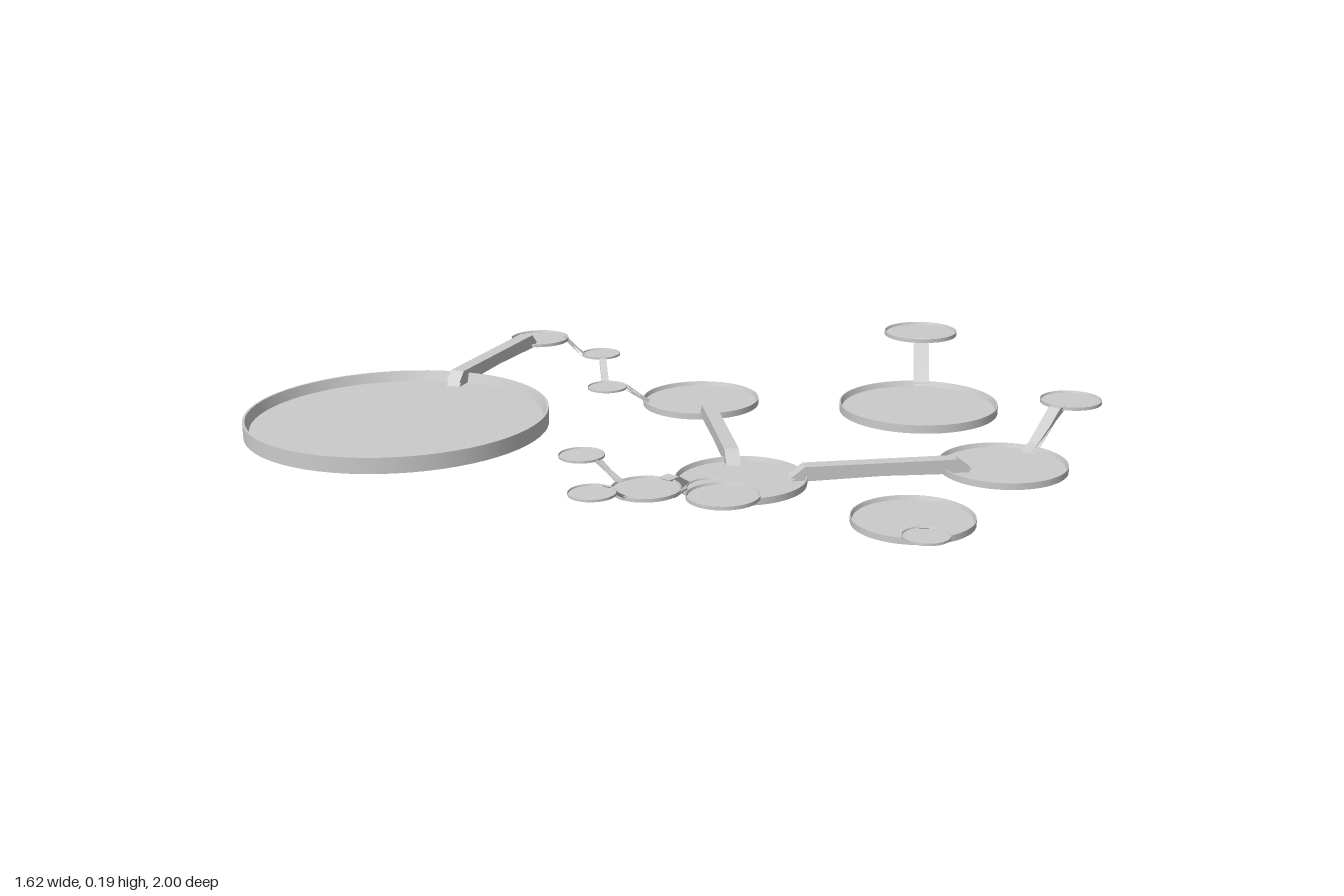
import * as THREE from 'three';

const material = new THREE.MeshStandardMaterial({ color: 0xcccccc });

// Shallow round tray with a sloping inner rim; top is the height of its rim
function tray(name, x, z, r, top) {
  const t = r * 0.105;
  const outline = [[0, 0], [r, 0], [r, t], [r * 0.985, t], [r * 0.962, t * 0.35], [0, t * 0.35]];
  const points = [];
  // Doubled corner points keep the rim edges crisp
  outline.forEach(([px, py], i) => {
    points.push(new THREE.Vector2(px, py));
    if (i > 0 && i < outline.length - 1) points.push(new THREE.Vector2(px, py));
  });
  const mesh = new THREE.Mesh(new THREE.LatheGeometry(points, 64), material);
  mesh.name = name;
  mesh.position.set(x, top - t, z);
  return mesh;
}

// Folded plank between two plan points; profile is a list of [fraction of length, height]
function bridge(name, [x0, z0], [x1, z1], width, profile) {
  const length = Math.hypot(x1 - x0, z1 - z0);
  const thick = Math.min(0.009, width * 0.35);
  const upper = profile.map(([f, y]) => new THREE.Vector2(f * length, y));
  const lower = upper.map((p) => new THREE.Vector2(p.x, p.y - thick)).reverse();
  const geometry = new THREE.ExtrudeGeometry(new THREE.Shape([...lower, ...upper.reverse()]),
    { depth: width, bevelEnabled: false });
  geometry.translate(0, 0, -width / 2);
  const mesh = new THREE.Mesh(geometry, material);
  mesh.name = name;
  mesh.position.set(x0, 0, z0);
  mesh.rotation.y = -Math.atan2(z1 - z0, x1 - x0);
  return mesh;
}

// Profiles: a ramp with flat lips, and a low arch that lands on both trays
const ramp = (y0, y1, lip = 0.15) => [[0, y0], [lip, y0], [1 - lip, y1], [1, y1]];
const arch = (y0, mid, y1, run = 0.08) => [[0, y0], [run, mid], [1 - run, mid], [1, y1]];

export function createModel() {
  const model = new THREE.Group();
  model.name = 'linkedPlatforms';

  // Platforms: name, x, z, radius, rim height
  const trays = [
    ['largePlatform', -0.47, 0.655, 0.34, 0.178],
    ['leftHubPlatform', -0.28, -0.225, 0.15, 0.034],
    ['centreHubPlatform', 0.18, 0.23, 0.15, 0.034],
    ['rightHubPlatform', 0.61, -0.212, 0.15, 0.034],
    ['sidePlatform', 0.618, 0.208, 0.135, 0.028],
    ['rearPlatform', 0.18, -0.555, 0.205, 0.0215],
    ['rearUpperPlatform', -0.02, -0.9, 0.1, 0.113],
    ['rightUpperPlatform', 0.61, -0.555, 0.075, 0.105],
    ['sideUpperPlatform', 0.757, 0.392, 0.05, 0.073],
    ['highStepPlatform', -0.69, -0.063, 0.075, 0.166],
    ['middleStepPlatform', -0.573, -0.173, 0.05, 0.118],
    ['lowStepPlatform', -0.455, -0.057, 0.05, 0.073],
    ['clusterHubPlatform', 0.18, 0.57, 0.075, 0.105],
    ['clusterWestPlatform', 0.003, 0.57, 0.05, 0.144],
    ['clusterFrontPlatform', 0.18, 0.742, 0.05, 0.144],
    ['clusterEastPlatform', 0.352, 0.57, 0.05, 0.144],
    ['clusterTopPlatform', 0.47, 0.688, 0.073, 0.184],
  ];
  trays.forEach((t) => model.add(tray(...t)));

  // Long arched bridges
  model.add(bridge('leftHubBridge', [0.105, 0.155], [-0.2, -0.145], 0.034, arch(0.03, 0.056, 0.03)));
  model.add(bridge('rightHubBridge', [0.26, 0.155], [0.56, -0.145], 0.034, arch(0.03, 0.056, 0.03)));
  model.add(bridge('largeBridge', [-0.565, 0.385], [-0.682, -0.02], 0.034, arch(0.165, 0.189, 0.164, 0.06)));

  // Ramps up to the raised platforms
  model.add(bridge('clusterRamp', [0.18, 0.34], [0.18, 0.51], 0.032,
    [[0, 0.03], [0.18, 0.054], [0.4, 0.054], [0.8, 0.106], [1, 0.106]]));
  model.add(bridge('rearRamp', [0.093, -0.718], [0.02, -0.835], 0.042, ramp(0.02, 0.112, 0.08)));
  model.add(bridge('rightRamp', [0.61, -0.325], [0.61, -0.49], 0.03,
    [[0, 0.03], [0.25, 0.04], [0.85, 0.104], [1, 0.104]]));
  model.add(bridge('sideRamp', [0.69, 0.3], [0.733, 0.36], 0.02, ramp(0.027, 0.072)));

  // Descending steps beside the left hub
  model.add(bridge('highStepRamp', [-0.643, -0.108], [-0.603, -0.145], 0.018, ramp(0.165, 0.117)));
  model.add(bridge('middleStepRamp', [-0.543, -0.143], [-0.485, -0.086], 0.018, ramp(0.117, 0.072)));
  model.add(bridge('lowStepRamp', [-0.425, -0.087], [-0.375, -0.133], 0.018, ramp(0.072, 0.034)));

  // Small ramps around the cluster hub
  for (const s of [-1, 1]) {
    model.add(bridge(s < 0 ? 'clusterWestRamp' : 'clusterEastRamp',
      [0.18 + s * 0.068, 0.57], [0.18 + s * 0.132, 0.57], 0.018, ramp(0.104, 0.143)));
  }
  model.add(bridge('clusterFrontRamp', [0.18, 0.638], [0.18, 0.7], 0.018, ramp(0.104, 0.143)));
  model.add(bridge('clusterTopRamp', [0.383, 0.601], [0.425, 0.643], 0.018, ramp(0.143, 0.183)));

  return model;
}
